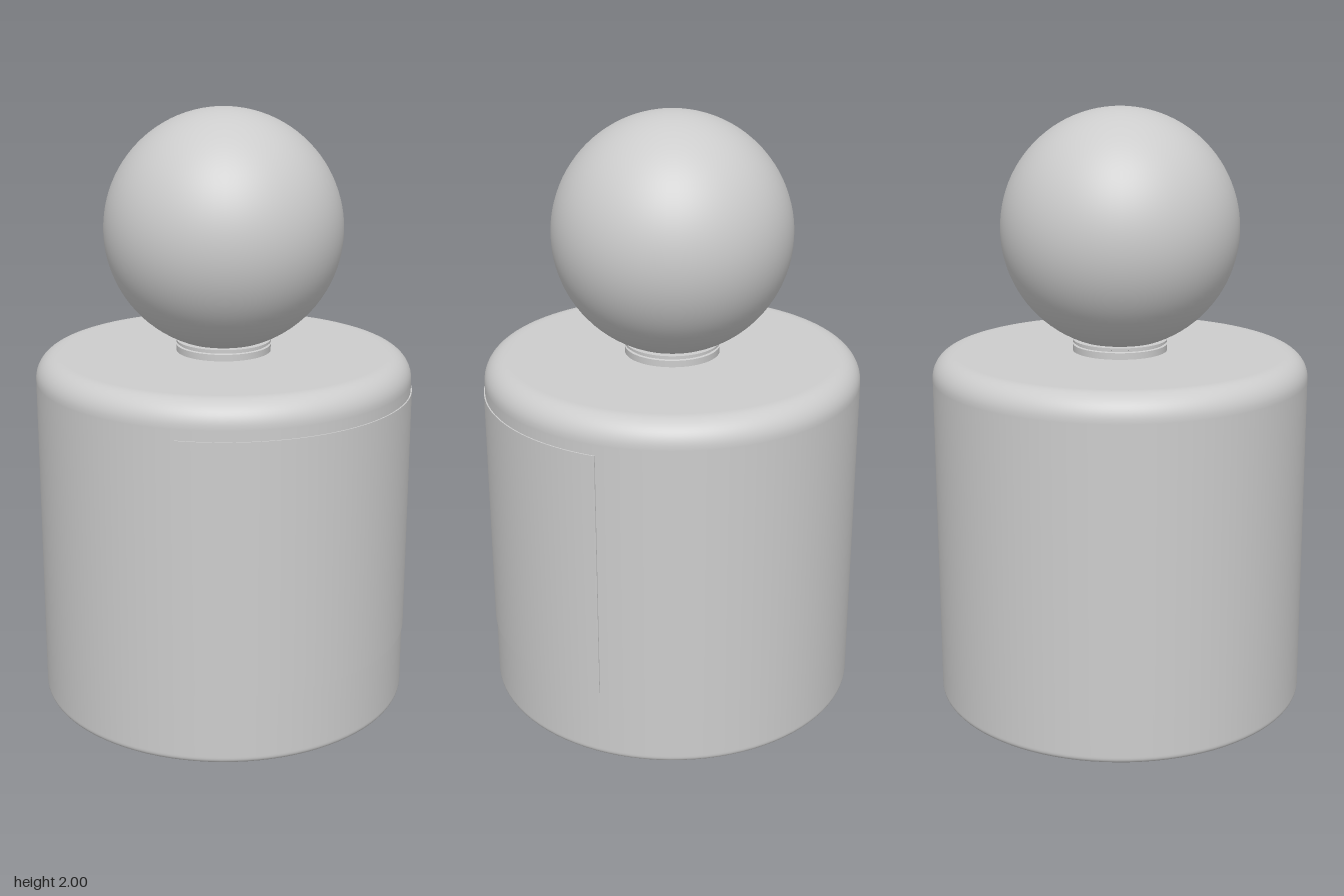
import * as THREE from 'three';
import { toCreasedNormals } from 'three/addons/utils/BufferGeometryUtils.js';

const RADIUS = 0.627, TOP = 1.2;

// Quarter-circle of profile points from angle a0 to a1
function fillet(cx, cy, r, a0, a1, n) {
  return Array.from({ length: n + 1 }, (_, i) => {
    const a = a0 + (a1 - a0) * i / n;
    return new THREE.Vector2(cx + r * Math.cos(a), cy + r * Math.sin(a));
  });
}

export function createModel() {
  const group = new THREE.Group();
  const plainGrey = new THREE.MeshStandardMaterial({ color: 0xcccccc });
  plainGrey.name = 'plainGrey';
  const add = (name, geometry) => {
    const mesh = new THREE.Mesh(geometry, plainGrey);
    mesh.name = name;
    group.add(mesh);
    return mesh;
  };
  const v = (x, y) => new THREE.Vector2(x, y);

  // Bottle body: cylinder with a small foot radius and a large shoulder radius
  const foot = 0.02, shoulder = 0.08;
  add('body', new THREE.LatheGeometry([
    v(0, 0), v(RADIUS - foot - 0.005, 0),
    ...fillet(RADIUS - foot, foot, foot, -Math.PI / 2, 0, 6),
    v(RADIUS, foot + 0.005), v(RADIUS, TOP - shoulder - 0.005),
    ...fillet(RADIUS - shoulder, TOP - shoulder, shoulder, 0, Math.PI / 2, 12),
    v(RADIUS - shoulder - 0.005, TOP), v(0, TOP),
  ], 96));

  // Neck: short collar with a narrow groove below its lip
  const neck = new THREE.LatheGeometry([
    v(0.158, TOP - 0.01), v(0.158, 1.222), v(0.15, 1.224),
    v(0.15, 1.228), v(0.158, 1.23), v(0.158, 1.238), v(0.12, 1.238),
  ], 64);
  add('neck', toCreasedNormals(neck, 0.5));

  // Round stopper
  add('stopper', new THREE.SphereGeometry(0.393, 64, 48)).position.y = 1.607;

  // Label: thin curved plate wrapped around the front
  const half = THREE.MathUtils.degToRad(54), mid = -Math.PI / 2;
  const sector = new THREE.Shape();
  sector.absarc(0, 0, RADIUS + 0.004, mid - half, mid + half, false);
  sector.absarc(0, 0, RADIUS - 0.004, mid + half, mid - half, true);
  const label = new THREE.ExtrudeGeometry(sector, { depth: 0.84, bevelEnabled: false, curveSegments: 40 });
  label.rotateX(-Math.PI / 2);
  label.translate(0, 0.24, 0);
  add('label', toCreasedNormals(label, 0.5));

  return group;
}
